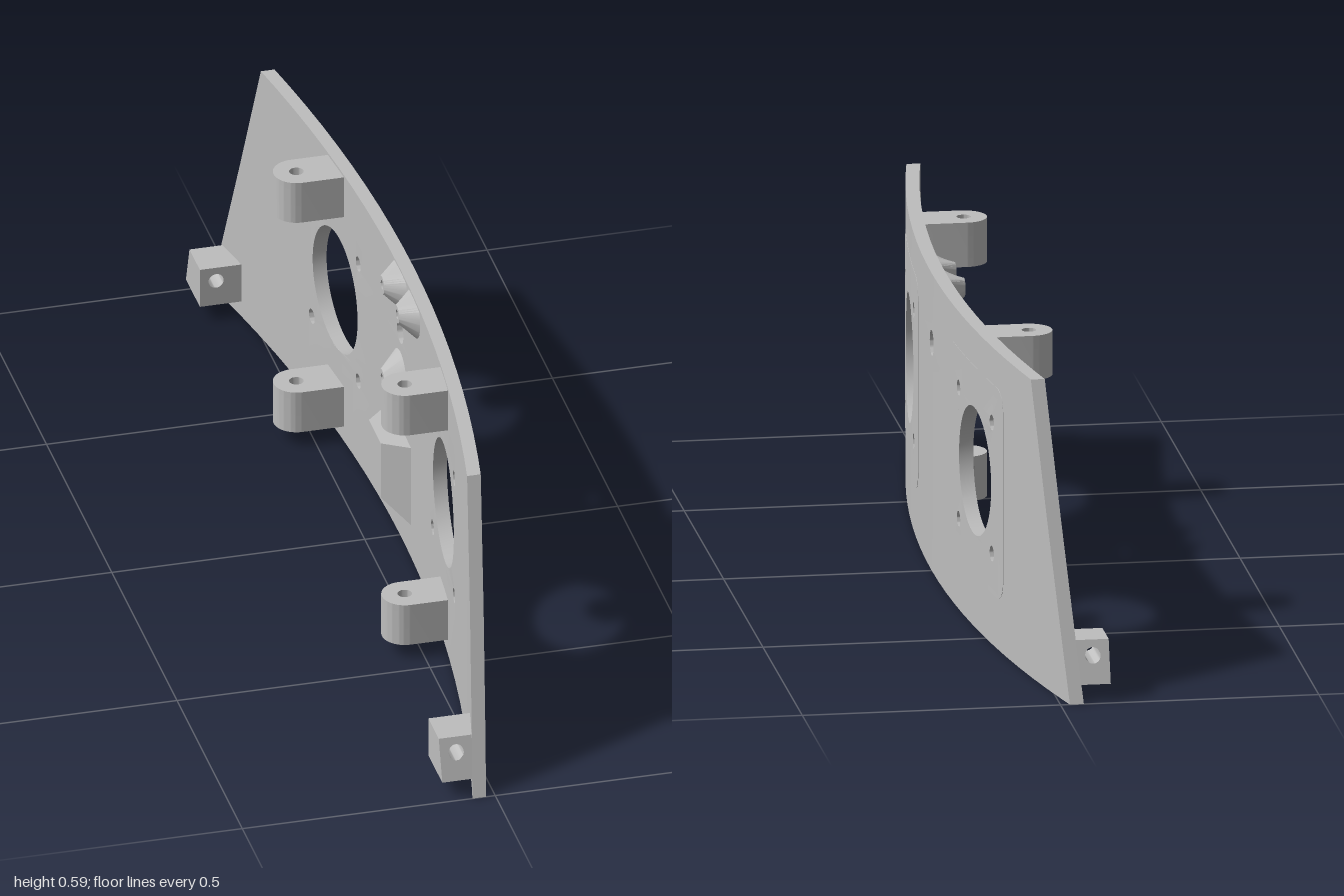
import * as THREE from 'three';
import { toCreasedNormals } from 'three/addons/utils/BufferGeometryUtils.js';

const R = 4.4, THICK = 0.027;
// x of the curved outer face at a given z
const outerX = (z) => 0.097 - (R - Math.sqrt(R * R - z * z));

function circle(x, y, r) {
  return new THREE.Path().absarc(x, y, r, 0, Math.PI * 2, true);
}

function extrude(shape, depth) {
  return new THREE.ExtrudeGeometry(shape, { depth, bevelEnabled: false, curveSegments: 24 });
}

// Moves every vertex by a rule
function reshape(geo, rule) {
  const p = geo.attributes.position, v = new THREE.Vector3();
  for (let i = 0; i < p.count; i++) {
    rule(v.fromBufferAttribute(p, i));
    p.setXYZ(i, v.x, v.y, v.z);
  }
  return geo;
}

// Cuts all triangles along planes of constant z so that the plate can bend
function sliceZ(geo, step) {
  const p = geo.attributes.position, out = [];
  for (let i = 0; i < p.count; i += 3) {
    const tri = [0, 1, 2].map((k) => new THREE.Vector3().fromBufferAttribute(p, i + k));
    const zs = tri.map((v) => v.z);
    const first = Math.floor(Math.min(...zs) / step), last = Math.ceil(Math.max(...zs) / step);
    for (let k = first; k < Math.max(last, first + 1); k++) {
      const poly = clip(clip(tri, k * step, 1), (k + 1) * step, -1);
      for (let j = 2; j < poly.length; j++) {
        for (const v of [poly[0], poly[j - 1], poly[j]]) out.push(v.x, v.y, v.z);
      }
    }
  }
  const g = new THREE.BufferGeometry();
  g.setAttribute('position', new THREE.Float32BufferAttribute(out, 3));
  return g;
}

function clip(poly, z, side) {
  const out = [];
  poly.forEach((a, i) => {
    const b = poly[(i + 1) % poly.length];
    const da = (a.z - z) * side, db = (b.z - z) * side;
    if (da >= 0) out.push(a);
    if ((da > 0 && db < 0) || (da < 0 && db > 0)) {
      // interpolate in a fixed direction so shared edges match
      out.push(da > 0 ? a.clone().lerp(b, da / (da - db)) : b.clone().lerp(a, db / (db - da)));
    }
  });
  return out;
}

// Curved plate from a flat outline: shape x becomes -z, depth lies along x
function curvedPlate(shape, depth, proud) {
  const flat = extrude(shape, depth).translate(0, 0, proud - depth).rotateY(Math.PI / 2);
  return toCreasedNormals(reshape(sliceZ(flat, 0.08), (v) => { v.x += outerX(v.z); }), 0.5);
}

// Large round opening with four screw holes
function openings(c) {
  const list = [circle(c, 0.31, 0.126)];
  for (const a of [-0.13, 0.13]) for (const b of [-0.13, 0.13]) list.push(circle(c + a, 0.31 + b, 0.015));
  return list;
}

function roundedRect(cx, cy, w, h, r) {
  const s = new THREE.Shape(), x = w / 2 - r, y = h / 2 - r;
  s.absarc(cx + x, cy + y, r, 0, Math.PI / 2);
  s.absarc(cx - x, cy + y, r, Math.PI / 2, Math.PI);
  s.absarc(cx - x, cy - y, r, Math.PI, Math.PI * 1.5);
  s.absarc(cx + x, cy - y, r, Math.PI * 1.5, Math.PI * 2);
  s.closePath();
  return s;
}

const outline = (pts) => new THREE.Shape(pts.map(([x, y]) => new THREE.Vector2(x, y)));

export function createModel() {
  const model = new THREE.Group();
  model.name = 'curvedPanel';
  const grey = new THREE.MeshStandardMaterial({ color: 0xbebebe });
  grey.name = 'grey';
  const add = (name, geo) => {
    const mesh = new THREE.Mesh(geo, grey);
    mesh.name = name;
    model.add(mesh);
    return mesh;
  };

  // Main trapezoid panel
  const panel = outline([[-1, 0], [1, 0], [0.79, 0.59], [-0.79, 0.59]]);
  panel.holes.push(...openings(0.415), ...openings(-0.415), circle(0, 0.452, 0.025));
  add('panel', curvedPlate(panel, THICK, 0));

  for (const s of [-1, 1]) {
    // Barely raised pad around each opening
    const pad = roundedRect(s * 0.41, 0.309, 0.42, 0.417, 0.04);
    pad.holes.push(...openings(s * 0.415));
    add('openingPad', curvedPlate(pad, 0.004, 0.0006));

    // Round-ended mounting lugs with vertical holes
    for (const y of [0.032, 0.497]) {
      const lug = new THREE.Shape();
      lug.moveTo(0.06, -0.045);
      lug.lineTo(0.06, 0.045);
      lug.absarc(-0.028, 0, 0.045, Math.PI / 2, Math.PI * 1.5);
      lug.closePath();
      lug.holes.push(circle(-0.028, 0, 0.014));
      const geo = extrude(lug, 0.088).rotateX(-Math.PI / 2);
      add('mountingLug', toCreasedNormals(geo, 0.5)).position.set(0, y, s * 0.415);
    }

    // Corner blocks, outer end slanted along the panel edge
    const block = outline([[-0.1, 0.033], [0, 0.033], [0, 0.115], [-0.1, 0.115]]);
    block.holes.push(circle(-0.068, 0.086, 0.015));
    const geo = reshape(extrude(block, 1), (v) => {
      const t = s > 0 ? v.z : 1 - v.z;
      const z = 0.875 + t * (0.08 + (0.115 - v.y) * 0.33);
      if (v.x > -0.03) v.x = outerX(z) - 0.012;
      v.z = s * z;
    });
    add('cornerBlock', toCreasedNormals(geo, 0.5));
  }

  // Hollow conical bosses on the inner face, trimmed at the top edge
  const profile = [[0.062, -0.008], [0.018, 0.036], [0.009, 0.036], [0.009, 0.01], [0, 0.01]]
    .map(([x, y]) => new THREE.Vector2(x, y));
  for (const z of [0, 0.115]) for (const y of [0.353, 0.56]) {
    const geo = new THREE.LatheGeometry(profile, 32).rotateZ(Math.PI / 2).translate(0.07, y, z);
    reshape(geo, (v) => { v.y = Math.min(v.y, 0.588); });
    add('conicalBoss', toCreasedNormals(geo, 0.6));
  }

  // Tapered clip with a notch in one side (shape x becomes z, depth goes inward)
  const clipShape = outline([[-0.088, 0.07], [0.088, 0.07], [0.088, 0.242], [-0.088, 0.242],
    [-0.088, 0.215], [-0.05, 0.185], [-0.05, 0.125], [-0.088, 0.097]]);
  const clipGeo = reshape(extrude(clipShape, 0.05).rotateY(-Math.PI / 2), (v) => {
    if (v.x < -0.02) {
      v.z *= 0.52;
      v.y = 0.236 - (0.242 - v.y) * 0.7;
    }
    v.x += 0.07;
  });
  add('taperedClip', toCreasedNormals(clipGeo, 0.4));

  return model;
}
